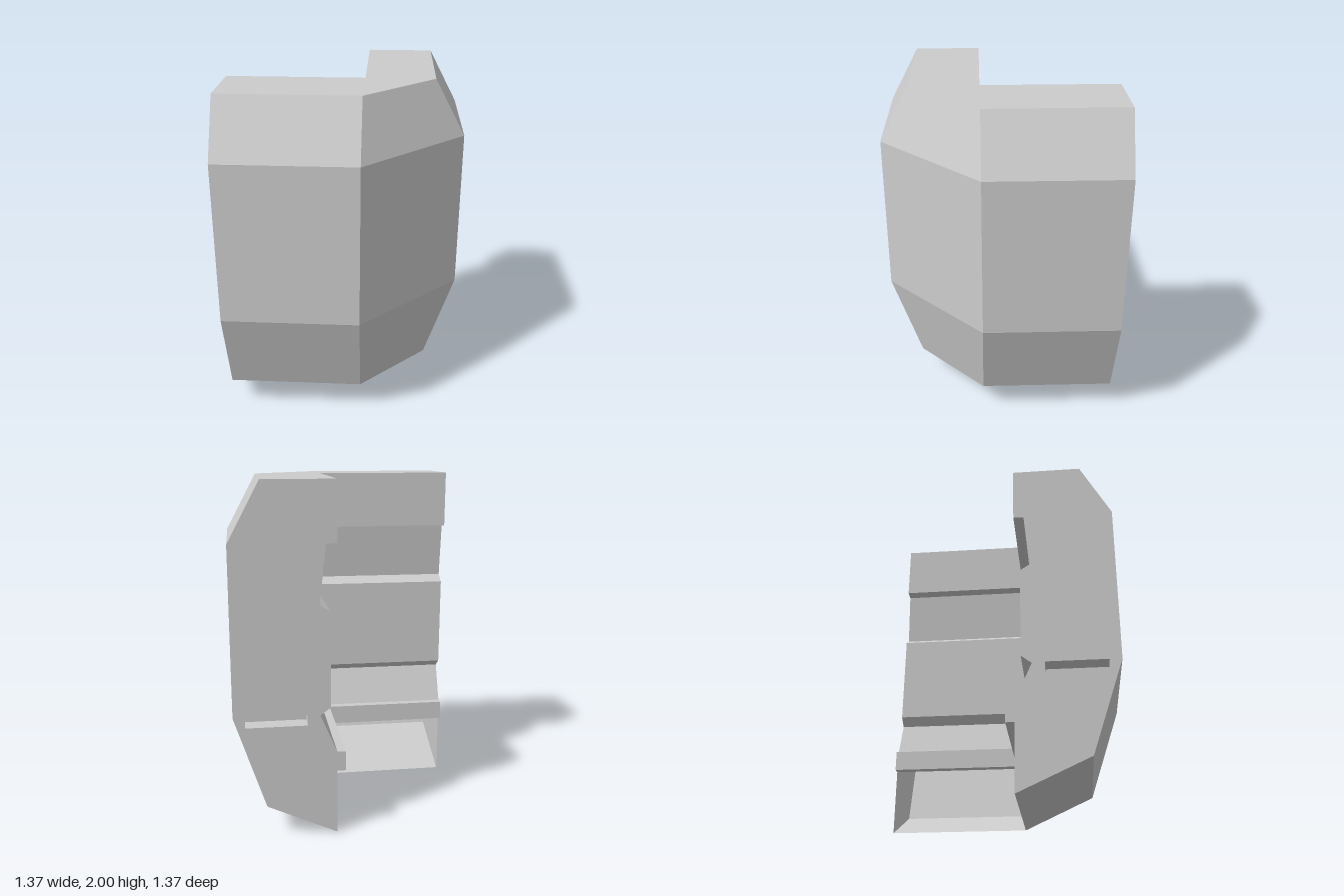
import * as THREE from 'three';

const L = 0.687;     // arm end distance
const P = 0.11;      // corner pivot: both arms turn around (P, P)

// Profiles as [distance from centre, height]
const outer = [[P, 0], [0.51, 0.185], [L, 0.72], [L, 1.67], [0.51, 2], [P, 2]];
const inner = [[P, 2], [P, 1.67], [0.17, 1.665], [0.205, 1.34], [0.146, 1.3], [0.146, 0.76],
  [0.205, 0.715], [P, 0.495], [0.062, 0.495], [0.062, 0.38], [P, 0.38]];

const material = new THREE.MeshStandardMaterial({
  color: 0xcccccc, flatShading: true, side: THREE.DoubleSide,
});

function part(name, geometry) {
  const mesh = new THREE.Mesh(geometry, material);
  mesh.name = name;
  return mesh;
}

// Plan path at one profile point: two arms joined by a chamfer (or a plain mitre inside the pivot)
function section([d, y]) {
  const c = Math.min(d, P);
  return [[-L, y, d], [c, y, d], [d, y, c], [d, y, -L]];
}

// Sweeps a profile around the corner
function sweep(profile) {
  const rows = profile.map(section);
  const positions = [];
  for (let j = 0; j < rows.length - 1; j++) {
    for (let i = 0; i < 3; i++) {
      const a = rows[j][i], b = rows[j][i + 1], c = rows[j + 1][i + 1], d = rows[j + 1][i];
      for (const v of [a, b, c, a, c, d]) positions.push(...v);
    }
  }
  const geometry = new THREE.BufferGeometry();
  geometry.setAttribute('position', new THREE.Float32BufferAttribute(positions, 3));
  geometry.computeVertexNormals();
  return geometry;
}

// Flat arm end with a narrow slot recessed into it, facing +z
function armEnd(name) {
  const group = new THREE.Group();
  group.name = name;
  const x0 = 0.275, x1 = 0.62, y0 = 0.66, y1 = 0.72, depth = 0.1;
  const points = [...outer, ...inner.slice(1)].map(([x, y]) => new THREE.Vector2(x, y));
  const shape = new THREE.Shape(points);
  shape.holes.push(new THREE.Path([[x0, y0], [x0, y1], [x1, y1], [x1, y0]]
    .map(([x, y]) => new THREE.Vector2(x, y))));
  const cap = part('endCap', new THREE.ShapeGeometry(shape));
  cap.position.z = L;

  // Box without its front side
  const box = new THREE.BoxGeometry(x1 - x0, y1 - y0, depth);
  const index = Array.from(box.index.array);
  index.splice(24, 6);
  box.setIndex(index);
  box.clearGroups();
  const slot = part('endSlot', box);
  slot.position.set((x0 + x1) / 2, (y0 + y1) / 2, L - depth / 2);
  group.add(cap, slot);
  return group;
}

export function createModel() {
  const model = new THREE.Group();
  model.name = 'cornerShell';
  model.add(part('outerShell', sweep(outer)), part('innerLining', sweep(inner)));

  // Back end is mirrored in z, side end is turned to face -x
  const backEnd = armEnd('backEnd');
  backEnd.scale.z = -1;
  const sideEnd = armEnd('sideEnd');
  sideEnd.rotation.y = -Math.PI / 2;
  model.add(backEnd, sideEnd);
  return model;
}
